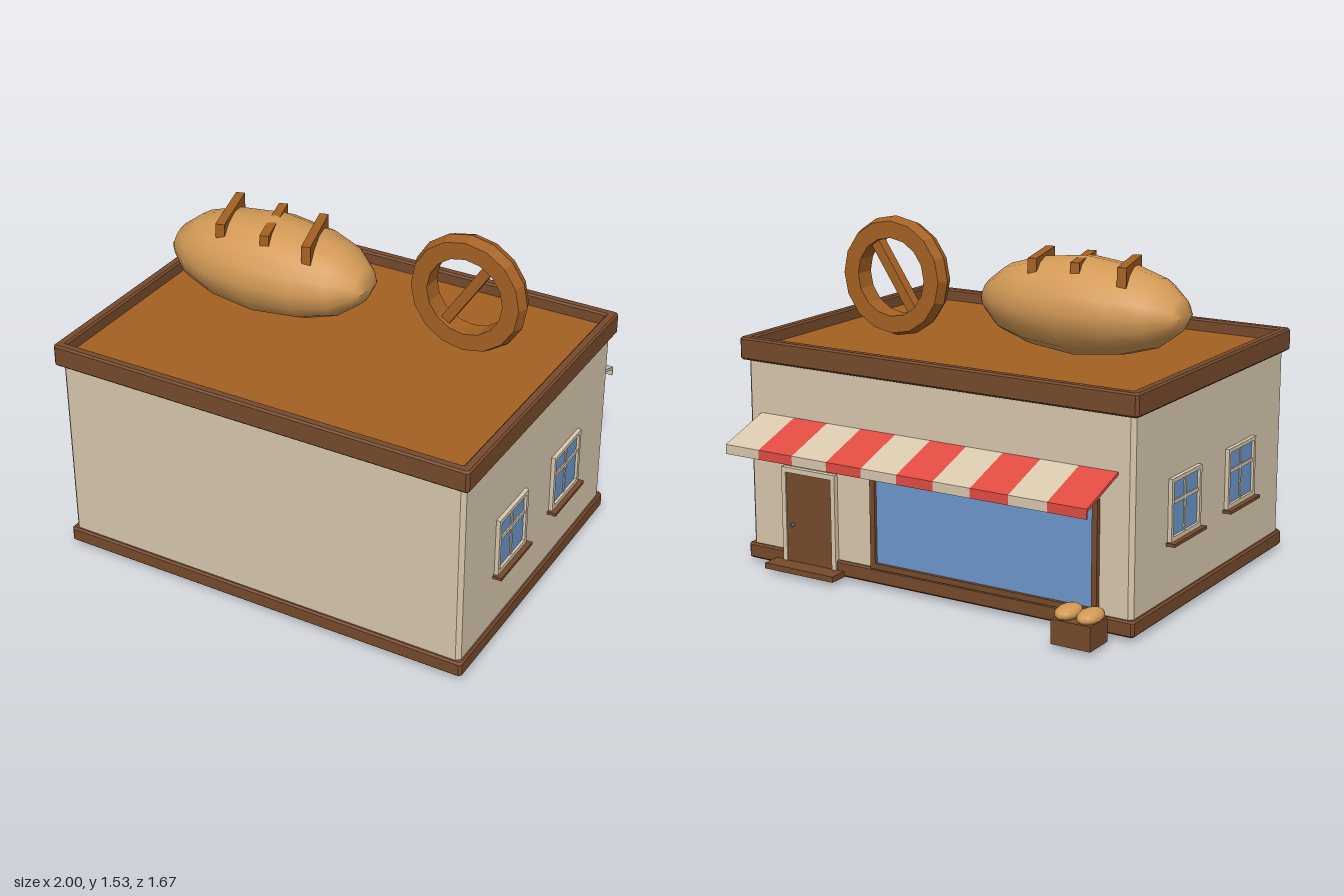
import * as THREE from 'three';
import { mergeVertices } from 'three/addons/utils/BufferGeometryUtils.js';

const paint = (name, color) => {
  const m = new THREE.MeshStandardMaterial({ color });
  m.name = name;
  return m;
};

export function createModel() {
  const plaster = paint('plaster', 0xd8c8ae);
  const wood = paint('darkWood', 0x764a2c);
  const crust = paint('crust', 0xa46122);
  const dough = paint('dough', 0xd39a56);
  const red = paint('awningRed', 0xe04c42);
  const glass = paint('glass', 0x6c97cc);
  const metal = paint('metal', 0x55585c);

  const root = new THREE.Group();
  root.name = 'bakery';

  const add = (name, geo, mat, parent = root) => {
    const mesh = new THREE.Mesh(geo, mat);
    mesh.name = name;
    parent.add(mesh);
    return mesh;
  };
  const group = (name) => {
    const g = new THREE.Group();
    g.name = name;
    root.add(g);
    return g;
  };
  // Box given by its extents
  const box = (name, mat, [x0, x1], [y0, y1], [z0, z1], parent) => {
    const m = add(name, new THREE.BoxGeometry(x1 - x0, y1 - y0, z1 - z0), mat, parent);
    m.position.set((x0 + x1) / 2, (y0 + y1) / 2, (z0 + z1) / 2);
    return m;
  };
  // Rectangle outline with cut corners
  const outline = (w, d, c, Kind = THREE.Shape) => {
    const s = new Kind();
    const x = w / 2, y = d / 2;
    s.setFromPoints([[x - c, -y], [x, c - y], [x, y - c], [x - c, y], [c - x, y], [-x, y - c], [-x, c - y], [c - x, -y]]
      .map(([a, b]) => new THREE.Vector2(a, b)));
    s.closePath();
    return s;
  };
  // Horizontal slab with bevelled edges, standing on y0
  const slab = (name, mat, shape, y0, y1, bevel) => {
    const geo = new THREE.ExtrudeGeometry(shape, {
      depth: y1 - y0 - 2 * bevel, bevelEnabled: bevel > 0,
      bevelSize: bevel, bevelOffset: -bevel, bevelThickness: bevel, bevelSegments: 1,
    });
    geo.rotateX(-Math.PI / 2);
    const m = add(name, geo, mat);
    m.position.set(0, y0 + bevel, 0.11);
    return m;
  };

  // Building shell
  slab('base', wood, outline(1.95, 1.43, 0.012), 0.02, 0.09, 0.008);
  slab('walls', plaster, outline(1.92, 1.4, 0.018), 0.09, 0.94, 0);
  const rim = outline(1.97, 1.45, 0.012);
  rim.holes.push(outline(1.88, 1.36, 0.001, THREE.Path));
  slab('roofRim', wood, rim, 0.93, 1.03, 0.008);
  box('roofDeck', crust, [-0.95, 0.95], [0.935, 0.975], [-0.58, 0.8]);

  // Two windows on each side wall
  for (const side of [-1, 1]) {
    for (const z of [0.375, -0.155]) {
      const win = group('sideWindow');
      const part = (name, mat, out, y, a, b) =>
        box(name, mat, side > 0 ? [0.955, out] : [-out, -0.955], y, [z + a, z + b], win);
      part('pane', glass, 0.966, [0.35, 0.595], -0.12, 0.12);
      part('frameBottom', plaster, 0.978, [0.33, 0.355], -0.135, 0.135);
      part('frameTop', plaster, 0.978, [0.588, 0.605], -0.135, 0.135);
      part('frameSide', plaster, 0.978, [0.355, 0.588], -0.135, -0.117);
      part('frameSide', plaster, 0.978, [0.355, 0.588], 0.117, 0.135);
      part('mullion', plaster, 0.971, [0.355, 0.588], -0.007, 0.007);
      part('crossbar', plaster, 0.972, [0.492, 0.508], -0.117, 0.117);
      part('sill', wood, 1.0, [0.322, 0.336], -0.148, 0.148);
    }
  }

  // Shop window
  const shop = group('shopWindow');
  box('pane', glass, [-0.79, 0.28], [0.11, 0.55], [-0.597, -0.58], shop);
  for (const x of [-0.81, 0.275]) box('frameSide', wood, [x, x + 0.025], [0.09, 0.575], [-0.612, -0.58], shop);
  for (const y of [0.09, 0.55]) box('frameRail', wood, [-0.785, 0.275], [y, y + 0.025], [-0.612, -0.58], shop);

  // Door, frame, knob and step
  const door = group('door');
  box('leaf', wood, [0.505, 0.755], [0.03, 0.455], [-0.608, -0.58], door);
  for (const x of [0.485, 0.75]) box('jamb', plaster, [x, x + 0.022], [0.005, 0.475], [-0.614, -0.58], door);
  box('lintel', plaster, [0.507, 0.75], [0.452, 0.475], [-0.614, -0.58], door);
  box('threshold', plaster, [0.49, 0.77], [0, 0.022], [-0.606, -0.59], door);
  box('step', wood, [0.447, 0.815], [0.02, 0.046], [-0.692, -0.6], door);
  add('knob', new THREE.SphereGeometry(0.01, 8, 6), metal, door).position.set(0.715, 0.215, -0.614);

  // Striped awning: one folded strip per stripe
  const awning = group('awning');
  const fold = new THREE.Shape([[-0.59, 0.683], [-0.59, 0.697], [-0.84, 0.61], [-0.84, 0.568], [-0.833, 0.568], [-0.833, 0.598]]
    .map(([z, y]) => new THREE.Vector2(z, y)));
  const stripe = new THREE.ExtrudeGeometry(fold, { depth: 0.178, bevelEnabled: false });
  stripe.rotateY(-Math.PI / 2);
  for (let i = 0; i < 10; i++) {
    add('stripe', stripe, i % 2 ? plaster : red, awning).position.x = -0.89 + 0.178 * (i + 1);
  }

  // Rooftop loaf: rings that shrink towards flat pinched ends
  const along = [0, 0.215, 0.36, 0.455, 0.485];
  const high = [0.214, 0.19, 0.147, 0.075, 0];
  const wide = [0.26, 0.236, 0.183, 0.1, 0.06];
  let loaf = new THREE.CylinderGeometry(1, 1, 2, 16, 8, true);
  const p = loaf.attributes.position;
  for (let i = 0; i < p.count; i++) {
    const k = Math.round(p.getY(i) * 4), a = Math.abs(k);
    p.setXYZ(i, Math.sign(k) * along[a], -p.getX(i) * high[a], p.getZ(i) * wide[a]);
  }
  loaf.deleteAttribute('uv');
  loaf.deleteAttribute('normal');
  loaf = mergeVertices(loaf);
  loaf.computeVertexNormals();
  add('loaf', loaf, dough).position.set(-0.385, 1.21, 0.02);

  // Slanted scores across the loaf
  for (const x of [-0.6, -0.378, -0.172]) {
    const score = add('score', new THREE.BoxGeometry(0.04, 0.095, 0.325), crust);
    score.position.set(x, 1.37, 0.02);
    score.rotation.y = 0.29;
  }

  // Rooftop ring with a diagonal bar
  const sign = group('ringSign');
  sign.position.set(0.523, 1.26, -0.068);
  const section = [[0.176, -0.048], [0.252, -0.048], [0.27, 0], [0.252, 0.048], [0.176, 0.048], [0.176, -0.048]]
    .map(([r, y]) => new THREE.Vector2(r, y));
  const ring = new THREE.LatheGeometry(section, 16).toNonIndexed();
  ring.computeVertexNormals();
  ring.rotateX(Math.PI / 2);
  add('ring', ring, crust, sign);
  add('bar', new THREE.BoxGeometry(0.39, 0.046, 0.05), crust, sign).rotation.z = 0.98;

  // Crate with two rolls by the shop window
  const crate = group('crate');
  box('crateBox', wood, [-0.9, -0.72], [0.02, 0.125], [-0.82, -0.68], crate);
  for (const x of [-0.862, -0.762]) {
    const roll = add('roll', new THREE.SphereGeometry(1, 12, 8), dough, crate);
    roll.scale.set(0.05, 0.031, 0.08);
    roll.position.set(x, 0.143, -0.75);
  }

  return root;
}
